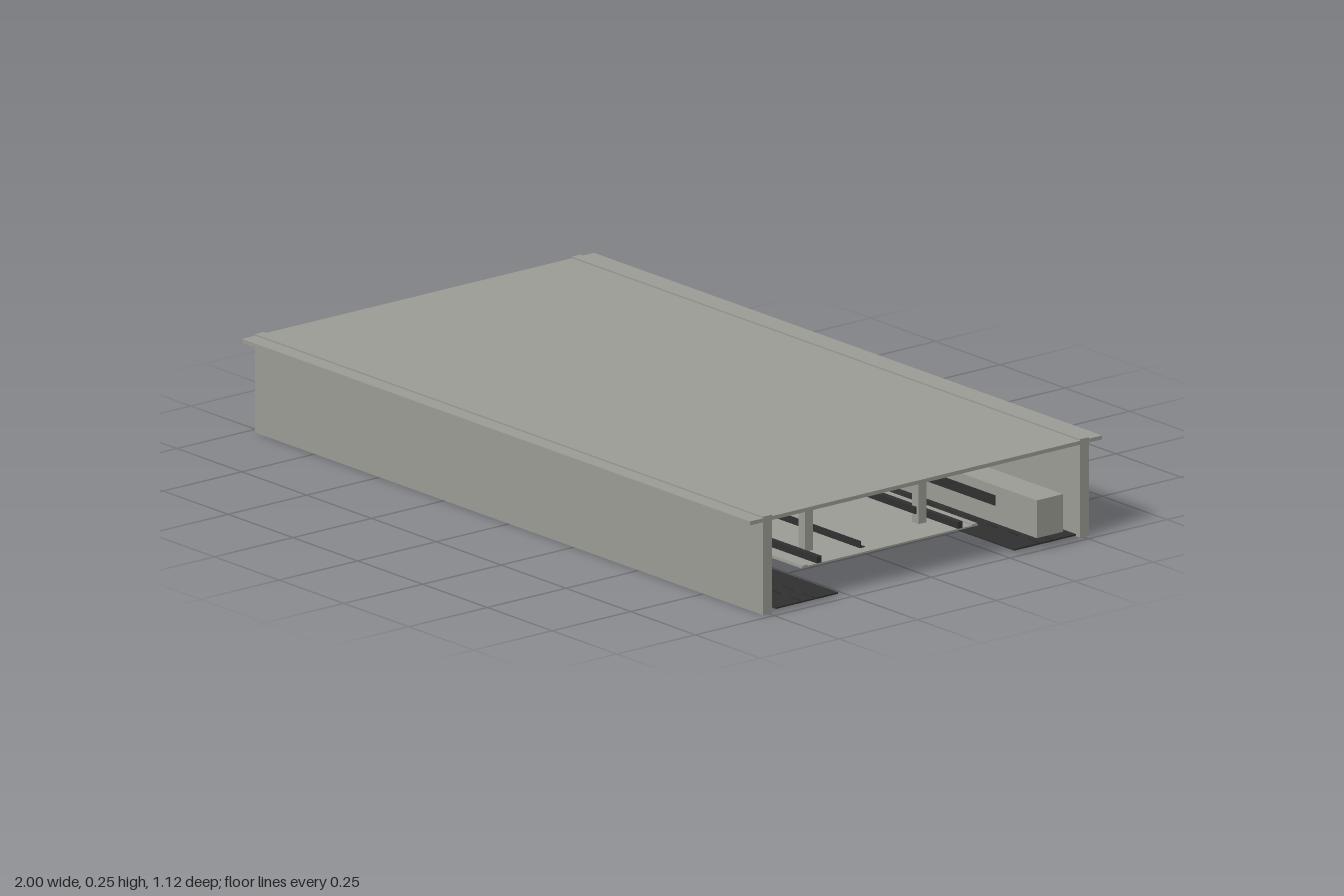
import * as THREE from 'three';

export function createModel() {
  const group = new THREE.Group();
  const grey = new THREE.MeshStandardMaterial({ color: 0x9c9c95 });
  grey.name = 'concrete grey';
  const black = new THREE.MeshStandardMaterial({ color: 0x303030 });
  black.name = 'dark steel';

  // Box given by its limits on each axis
  function box(name, mat, [x0, x1], [y0, y1], [z0, z1]) {
    const mesh = new THREE.Mesh(new THREE.BoxGeometry(x1 - x0, y1 - y0, z1 - z0), mat);
    mesh.position.set((x0 + x1) / 2, (y0 + y1) / 2, (z0 + z1) / 2);
    mesh.name = name;
    group.add(mesh);
    return mesh;
  }
  const full = [-0.98, 0.98];
  const inner = [-0.84, 0.84];

  // Deck between the two girders, with overhanging edges outside them
  box('deck', grey, full, [0.239, 0.249], [-0.49, 0.49]);
  box('deckSeam', black, inner, [0.236, 0.239], [-0.013, 0.013]);

  // Suspended floor plate
  box('floorPlate', grey, inner, [0.039, 0.043], [-0.28, 0.28]);

  for (const s of [1, -1]) {
    const span = (a, b) => (s > 0 ? [a, b] : [-b, -a]);
    box('deckEdge', grey, full, [0.239, 0.249], span(0.518, 0.56));
    box('sideGirder', grey, full, [0, 0.253], span(0.49, 0.518));

    // Raised lip and rail on the floor plate
    box('plateLip', grey, inner, [0.043, 0.046], span(0.262, 0.278));
    box('floorRail', black, inner, [0.043, 0.06], span(0.217, 0.232));

    // Hangers joining the plate to the deck
    for (const x of [-0.735, -0.245, 0.245, 0.735]) {
      box('hanger', grey, [x - 0.013, x + 0.013], [0.043, 0.239], span(0.168, 0.193));
    }

    // Low side tray with two rows of cleats
    box('sideTray', black, full, [0.008, 0.012], span(0.28, 0.477));
    for (const z of [0.357, 0.4]) {
      for (let i = 0; i < 25; i++) {
        const x = -0.96 + i * 0.08;
        box('trayCleat', black, [x - 0.02, x + 0.02], [0.012, 0.017], span(z - 0.001, z + 0.001));
      }
    }
  }

  // Cable duct running past both ends, with side strips
  box('cableDuct', grey, [-1, 1], [0.034, 0.131], [-0.419, -0.336]);
  box('ductStrip', black, inner, [0.08, 0.106], [-0.336, -0.333]);
  box('ductStrip', black, inner, [0.05, 0.125], [-0.422, -0.419]);

  // Small angle section and flat bar above the plate
  box('angleUpright', black, inner, [0.055, 0.073], [0.092, 0.095]);
  box('angleFoot', black, inner, [0.055, 0.057], [0.079, 0.092]);
  box('flatBar', black, inner, [0.108, 0.126], [-0.085, -0.08]);

  return group;
}
